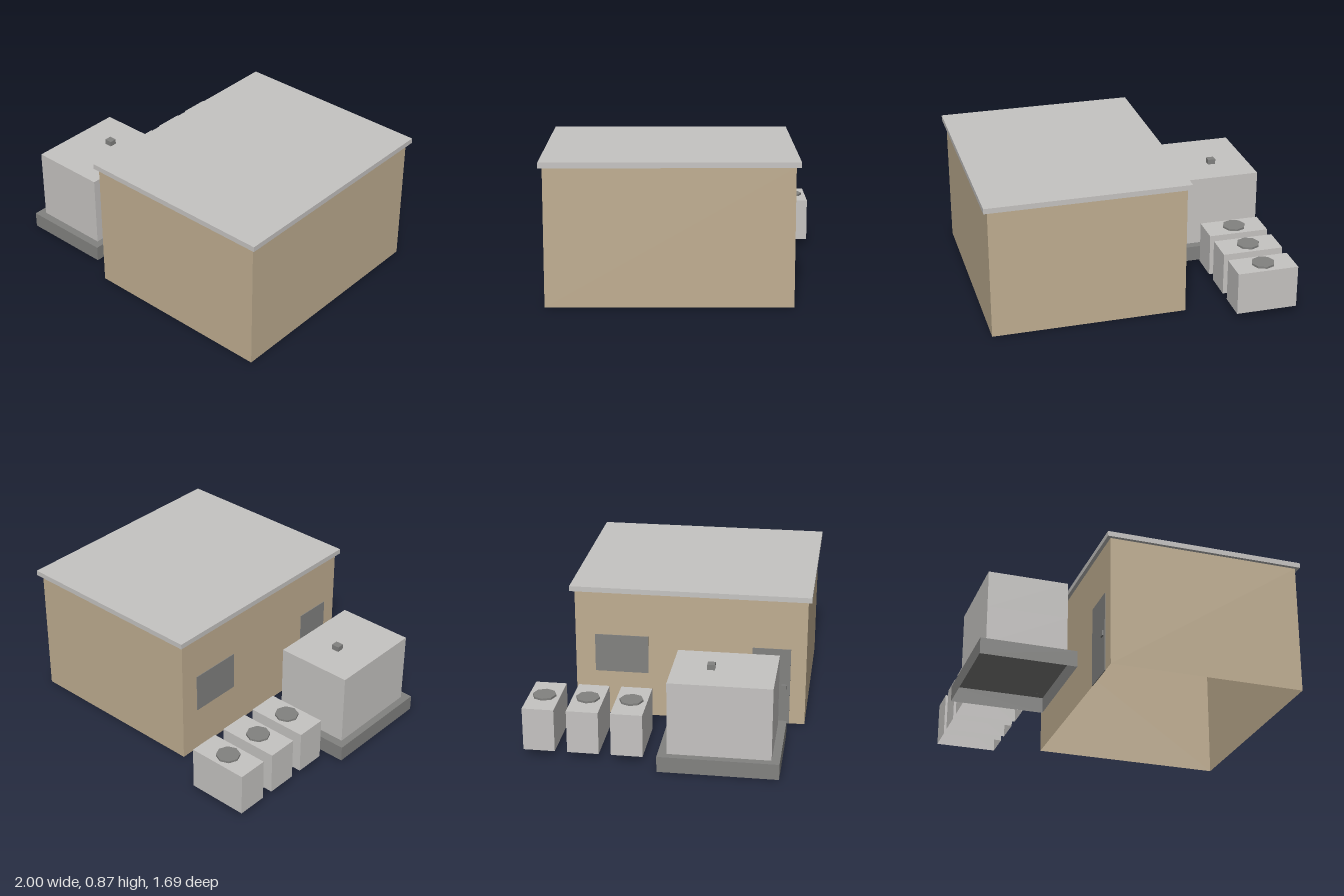
import * as THREE from 'three';

const mat = (name, color) =>
  new THREE.MeshStandardMaterial({ name, color, side: THREE.DoubleSide });

// Box given by its limits; faces listed in "open" are left out (2 = top, 3 = bottom).
function box(name, material, [x0, x1], [y0, y1], [z0, z1], open = []) {
  const geo = new THREE.BoxGeometry(x1 - x0, y1 - y0, z1 - z0);
  const index = Array.from(geo.index.array);
  geo.setIndex(index.filter((_, i) => !open.includes(Math.floor(i / 6))));
  geo.clearGroups();
  const mesh = new THREE.Mesh(geo, material);
  mesh.name = name;
  mesh.position.set((x0 + x1) / 2, (y0 + y1) / 2, (z0 + z1) / 2);
  return mesh;
}

export function createModel() {
  const model = new THREE.Group();
  model.name = 'utilityBuilding';
  const tan = mat('tanWall', 0xc0ae91);
  const light = mat('lightGrey', 0xc6c4c2);
  const dark = mat('darkGrey', 0x828280);

  // Main building: hollow walls under an overhanging flat roof
  const building = new THREE.Group();
  building.name = 'building';
  building.add(
    box('walls', tan, [-0.247, 0.975], [0, 0.835], [-0.645, 0.818], [2, 3]),
    box('roof', light, [-0.27, 1], [0.835, 0.868], [-0.673, 0.84]),
    box('window', dark, [-0.251, -0.246], [0.295, 0.545], [-0.52, -0.18]),
    box('door', dark, [-0.251, -0.246], [0, 0.51], [0.48, 0.72]),
    box('doorHandle', dark, [-0.262, -0.248], [0.235, 0.27], [0.665, 0.7])
  );
  model.add(building);

  // Equipment cabinet: two tiers with three door panels along each long side
  const cabinet = new THREE.Group();
  cabinet.name = 'equipmentCabinet';
  cabinet.add(
    box('cabinetPad', dark, [-1, -0.417], [0, 0.1], [-0.015, 0.715], [3]),
    box('cabinetVent', dark, [-0.734, -0.684], [0.56, 0.595], [0.252, 0.298])
  );
  const length = 0.625 / 3;
  for (const [y0, y1] of [[0.1, 0.331], [0.331, 0.562]]) {
    cabinet.add(box('cabinetTier', light, [-0.951, -0.467], [y0, y1], [0.04, 0.665]));
    for (let i = 0; i < 3; i++) {
      const z = [0.04 + i * length, 0.04 + (i + 1) * length];
      cabinet.add(
        box('cabinetDoor', light, [-0.954, -0.951], [y0, y1], z),
        box('cabinetDoor', light, [-0.467, -0.464], [y0, y1], z)
      );
    }
  }
  model.add(cabinet);

  // Row of three cooling units with octagonal fans on top
  for (const z of [-0.748, -0.478, -0.21]) {
    const unit = new THREE.Group();
    unit.name = 'coolingUnit';
    const fan = new THREE.Mesh(new THREE.CylinderGeometry(0.073, 0.073, 0.013, 8), dark);
    fan.geometry = fan.geometry.toNonIndexed();
    fan.geometry.computeVertexNormals();
    fan.name = 'fan';
    fan.position.set(-0.71, 0.3225, z);
    unit.add(
      box('unitHousing', light, [-0.904, -0.517], [0.042, 0.316], [z - 0.097, z + 0.097], [3]),
      fan
    );
    model.add(unit);
  }
  return model;
}
